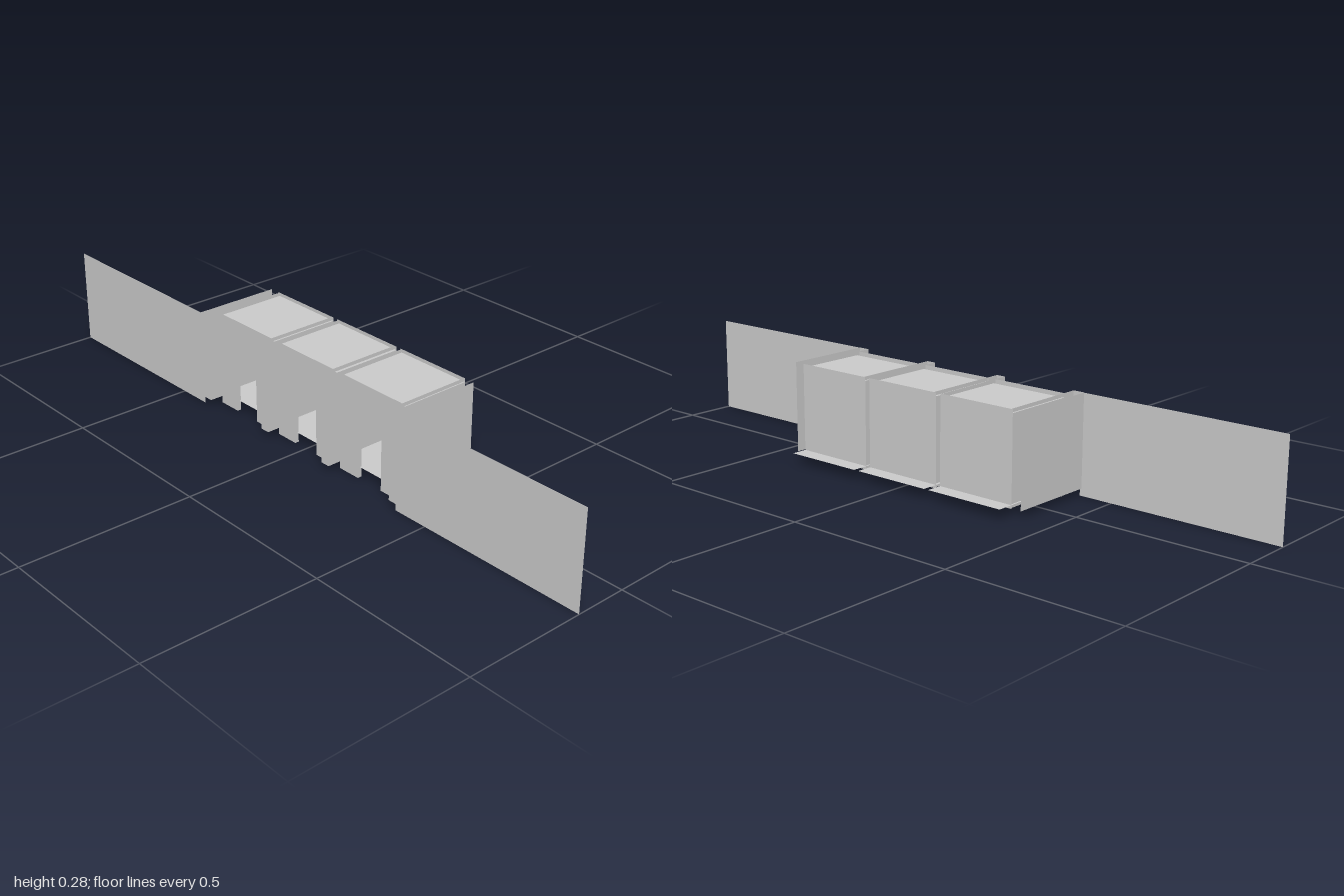
import * as THREE from 'three';

const material = new THREE.MeshStandardMaterial({ color: 0xcccccc, side: THREE.DoubleSide, flatShading: true });

const BACK = -0.105, FACADE = 0.112, FRONT = 0.152; // depths along z
const BASE = 0.02, TOP = 0.28;                      // heights along y

function add(parent, name, geometry, x, y, z) {
  const mesh = new THREE.Mesh(geometry, material);
  mesh.name = name;
  mesh.position.set(x, y, z);
  parent.add(mesh);
}

// Flat sheets, each given by its limits
function sheetXY(parent, name, x0, x1, y0, y1, z) {
  add(parent, name, new THREE.PlaneGeometry(x1 - x0, y1 - y0), (x0 + x1) / 2, (y0 + y1) / 2, z);
}
function sheetXZ(parent, name, x0, x1, z0, z1, y) {
  add(parent, name, new THREE.PlaneGeometry(x1 - x0, z1 - z0).rotateX(-Math.PI / 2), (x0 + x1) / 2, y, (z0 + z1) / 2);
}
function sheetYZ(parent, name, y0, y1, z0, z1, x) {
  add(parent, name, new THREE.PlaneGeometry(z1 - z0, y1 - y0).rotateY(Math.PI / 2), x, (y0 + y1) / 2, (z0 + z1) / 2);
}

// One bay: facade with doorway, door reveal, floor, ceiling and back wall
function makeBay(cx) {
  const bay = new THREE.Group();
  bay.name = 'bay';
  bay.position.x = cx;
  const half = 0.115, door = 0.044, lintel = 0.17;

  const outline = new THREE.Shape([
    [-half, 0], [-door, 0], [-door, lintel], [door, lintel],
    [door, 0], [half, 0], [half, TOP], [-half, TOP],
  ].map(([x, y]) => new THREE.Vector2(x, y)));
  add(bay, 'facade', new THREE.ShapeGeometry(outline), 0, 0, FACADE);

  for (const s of [-1, 1]) sheetYZ(bay, 'doorJamb', 0, lintel, 0.1, FACADE, s * door);
  sheetXZ(bay, 'doorLintel', -door, door, 0.1, FACADE, lintel);

  sheetXZ(bay, 'floor', -0.12, 0.12, -FRONT, 0.105, 0.03);
  sheetXZ(bay, 'ceiling', -0.12, 0.12, BACK, 0.105, 0.27);
  sheetXY(bay, 'backWall', -0.12, 0.12, BASE, TOP, BACK);
  return bay;
}

// Hollow pier: a front strip with two deep side walls
function makePier(x0, x1) {
  const pier = new THREE.Group();
  pier.name = 'pier';
  sheetXY(pier, 'pierFront', x0, x1, BASE, TOP, FRONT);
  for (const x of [x0, x1]) sheetYZ(pier, 'partitionWall', BASE, TOP, BACK, FRONT, x);
  return pier;
}

export function createModel() {
  const model = new THREE.Group();
  model.name = 'gatehouse';
  for (const x of [-0.255, 0, 0.255]) model.add(makeBay(x));
  for (const [x0, x1] of [[-0.405, -0.37], [-0.14, -0.112], [0.112, 0.14], [0.372, 0.405]]) {
    model.add(makePier(x0, x1));
  }
  // Long boundary walls on both sides
  sheetXY(model, 'rightBoundaryWall', -1, -0.4, 0, TOP, 0.15);
  sheetXY(model, 'leftBoundaryWall', 0.395, 1, 0, TOP, 0.15);
  return model;
}
